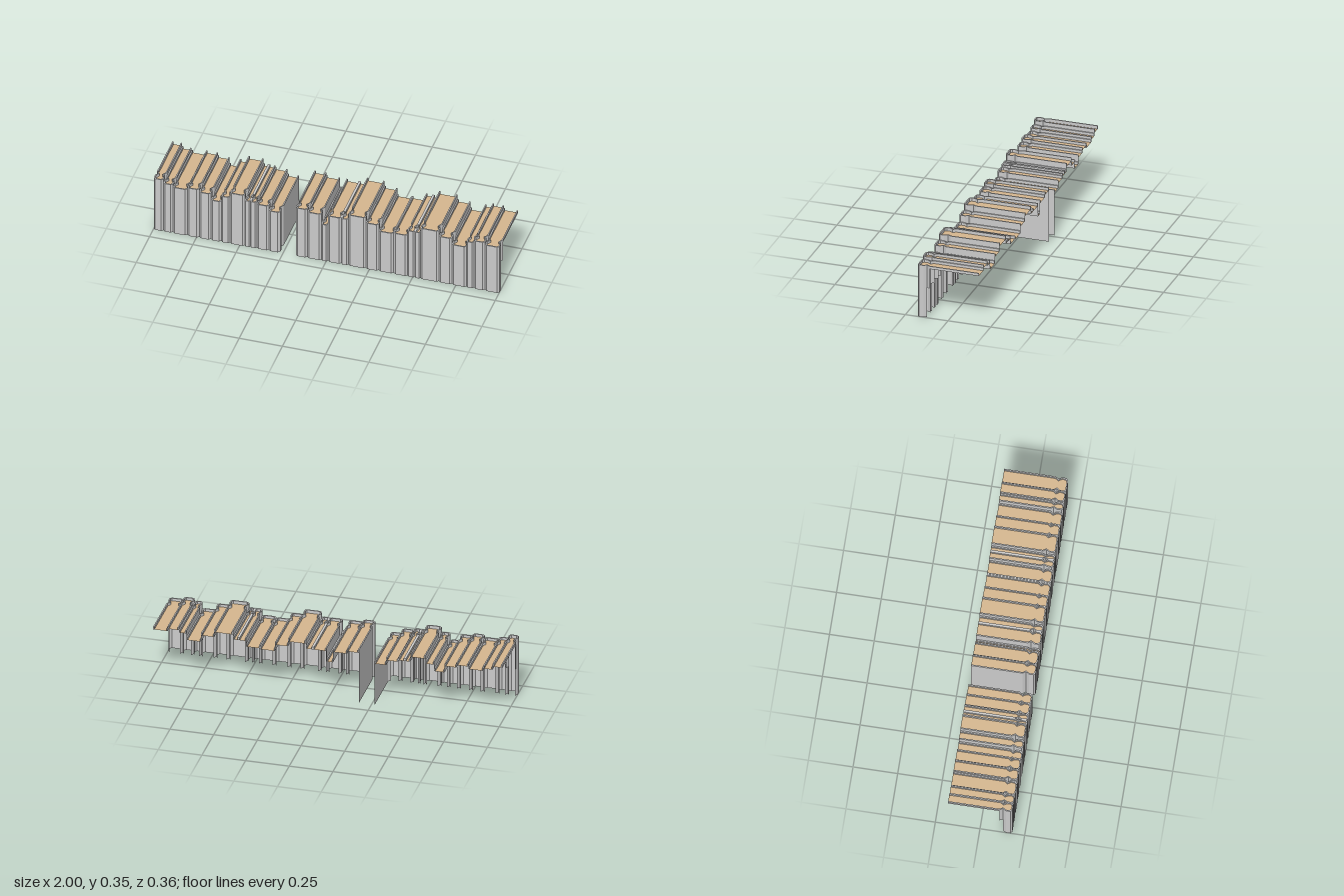
import * as THREE from 'three';

const BACK = -0.18, FRONT = 0.18;
const T = 0.007; // cover thickness

// Two runs of books: edges along x, and the height of each book between them
const RUNS = [
  {
    edges: [-1, -0.944, -0.889, -0.805, -0.737, -0.669, -0.609, -0.559, -0.473, -0.441, -0.404, -0.334, -0.268],
    heights: [0.352, 0.33, 0.315, 0.33, 0.315, 0.275, 0.315, 0.348, 0.315, 0.315, 0.305, 0.275],
    fullLeft: true, fullRight: false,
  },
  {
    edges: [-0.178, -0.11, -0.03, 0.008, 0.085, 0.126, 0.227, 0.302, 0.388, 0.468, 0.511, 0.543, 0.65, 0.725, 0.81, 0.853, 0.917, 1],
    heights: [0.33, 0.315, 0.25, 0.315, 0.315, 0.348, 0.315, 0.275, 0.28, 0.315, 0.315, 0.348, 0.315, 0.275, 0.315, 0.33, 0.315],
    fullLeft: false, fullRight: true,
  },
];

const coverMat = new THREE.MeshStandardMaterial({ color: 0xcccccc, side: THREE.DoubleSide, flatShading: true });
const pageMat = new THREE.MeshStandardMaterial({ color: 0xd6b78f, side: THREE.DoubleSide });

const pageLevel = (h) => h - (h > 0.34 ? 0.019 : 0.016);

// Plan outline of a cover as [x, z], from the +x back corner round the spine to the -x one
function outline(w, inner) {
  const h = w / 2 - (inner ? T : 0);
  const groove = Math.min(0.012, w * 0.2);
  const corner = Math.min(0.012, w * 0.2) * (inner ? 0.6 : 1);
  const f = FRONT - (inner ? T : 0);
  const half = [[h, BACK], [h, 0.108], [h - groove, 0.126], [h, 0.145], [h, f - 0.01], [h - corner, f]];
  return [...half, ...half.map(([x, z]) => [-x, z]).reverse()];
}

// Cover: outer sheet, inner lip above the pages, top rim and the two back ends
function coverGeometry(w, height, leftBottom, rightBottom) {
  const out = outline(w, false), inn = outline(w, true);
  const level = pageLevel(height);
  const pos = [];
  const quad = (a, b, c, d) => pos.push(...a, ...b, ...c, ...a, ...c, ...d);
  const at = ([x, z], y) => [x, y, z];
  const last = out.length - 2;
  for (let i = 0; i <= last; i++) {
    // the boards and the rear of each hinge stop short where neighbours hide them
    const side = i < out.length / 2 ? leftBottom : rightBottom;
    const k = Math.min(i, last - i);
    const bottom = k === 0 ? side : k === 1 ? Math.min(side, 0.178) : 0;
    const o0 = out[i], o1 = out[i + 1], n0 = inn[i], n1 = inn[i + 1];
    quad(at(o0, bottom), at(o0, height), at(o1, height), at(o1, bottom));
    quad(at(n0, level), at(n1, level), at(n1, height), at(n0, height));
    quad(at(o0, height), at(n0, height), at(n1, height), at(o1, height));
  }
  const e = out.length - 1;
  quad(at(out[0], level), at(inn[0], level), at(inn[0], height), at(out[0], height));
  quad(at(inn[e], level), at(out[e], level), at(out[e], height), at(inn[e], height));
  const g = new THREE.BufferGeometry();
  g.setAttribute('position', new THREE.Float32BufferAttribute(pos, 3));
  g.computeVertexNormals();
  return g;
}

function makeBook(w, height, leftBottom, rightBottom) {
  const book = new THREE.Group();
  book.name = 'book';
  const cover = new THREE.Mesh(coverGeometry(w, height, leftBottom, rightBottom), coverMat);
  cover.name = 'cover';
  // Top of the page block, filling the inside of the cover
  const shape = new THREE.Shape(outline(w, true).map(([x, z]) => new THREE.Vector2(x, -z)));
  const pages = new THREE.Mesh(new THREE.ShapeGeometry(shape).rotateX(-Math.PI / 2), pageMat);
  pages.position.y = pageLevel(height);
  pages.name = 'pages';
  book.add(cover, pages);
  return book;
}

export function createModel() {
  const model = new THREE.Group();
  model.name = 'bookRow';
  for (const { edges, heights, fullLeft, fullRight } of RUNS) {
    const run = new THREE.Group();
    run.name = 'bookRun';
    heights.forEach((h, i) => {
      // a board reaches down to its own pages or to a lower neighbour; boards at the gap are whole
      const bottom = (j, full) =>
        heights[j] === undefined ? (full ? 0 : pageLevel(h)) : Math.min(pageLevel(h), pageLevel(heights[j]));
      const book = makeBook(edges[i + 1] - edges[i], h, bottom(i + 1, fullLeft), bottom(i - 1, fullRight));
      book.position.x = (edges[i] + edges[i + 1]) / 2;
      run.add(book);
    });
    model.add(run);
  }
  return model;
}
